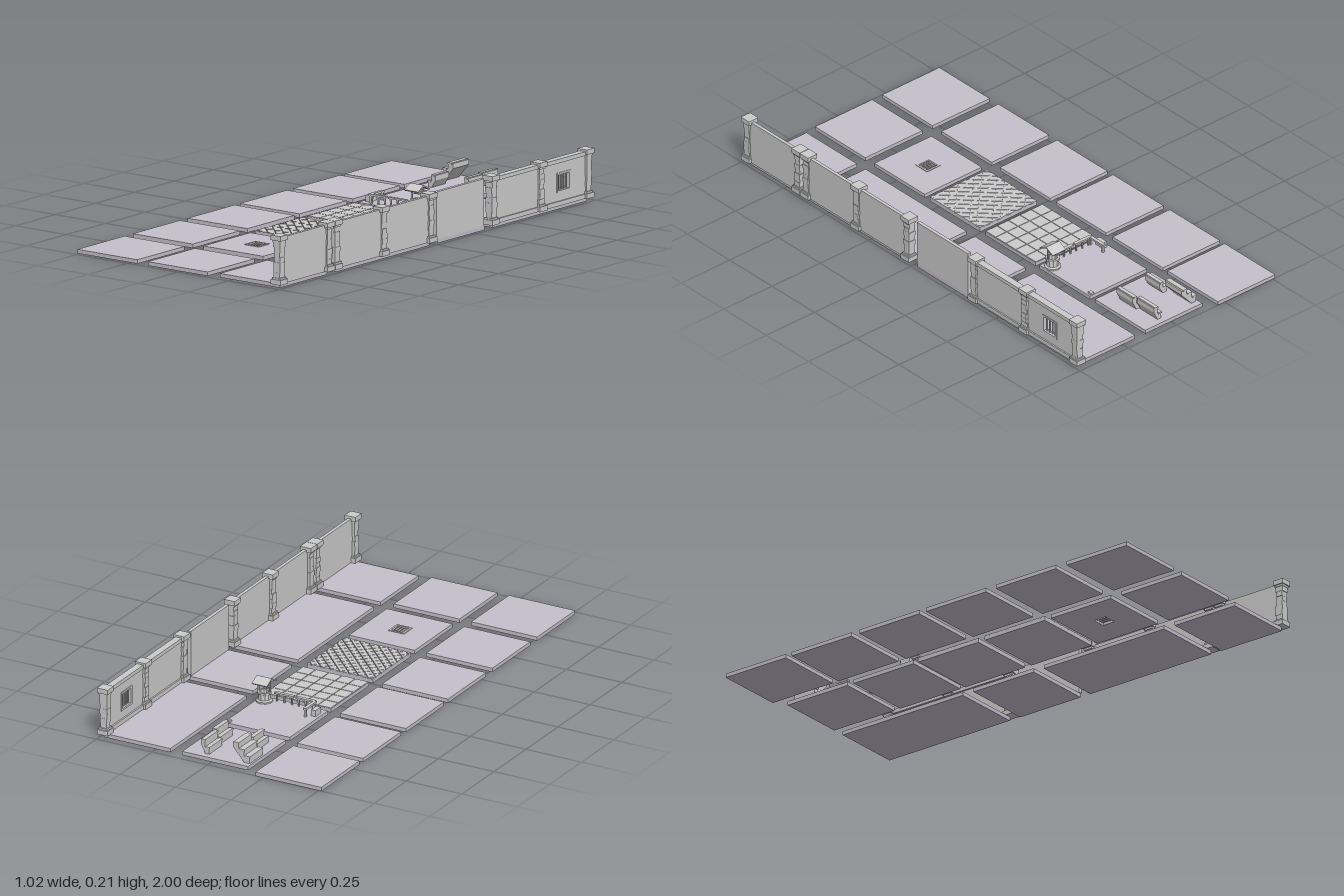
import * as THREE from 'three';

const stone = new THREE.MeshStandardMaterial({ color: 0xcccccc, flatShading: true });
const slab = new THREE.MeshStandardMaterial({ color: 0xc5c0cc, flatShading: true });
const TOP = 0.016; // upper surface of the floor tiles

function add(parent, name, geometry, x = 0, y = 0, z = 0, material = stone) {
  const mesh = new THREE.Mesh(geometry, material);
  mesh.name = name;
  mesh.position.set(x, y, z);
  parent.add(mesh);
  return mesh;
}

// Box given by its limits on each axis
function box(parent, name, x0, x1, y0, y1, z0, z1, material = stone) {
  return add(parent, name, new THREE.BoxGeometry(x1 - x0, y1 - y0, z1 - z0),
    (x0 + x1) / 2, (y0 + y1) / 2, (z0 + z1) / 2, material);
}

function group(parent, name) {
  const g = new THREE.Group();
  g.name = name;
  parent.add(g);
  return g;
}

function polygon(points) {
  return new THREE.Shape(points.map(([x, y]) => new THREE.Vector2(x, y)));
}

const rect = (a0, a1, b0, b1) => polygon([[a0, b0], [a1, b0], [a1, b1], [a0, b1]]);

function extrude(shape, depth) {
  return new THREE.ExtrudeGeometry(shape, { depth, bevelEnabled: false });
}

// Small repeatable noise for the rough masonry
function makeNoise(seed) {
  return () => {
    seed = (seed * 16807) % 2147483647;
    return seed / 2147483647 - 0.5;
  };
}

// Pillar of rough stacked stones between a flared base and a cap
function pillar(parent, z, seed) {
  const g = group(parent, 'pillar');
  const noise = makeNoise(seed);
  const x = 0.481;
  const block = (name, w, y0, y1, d = w) => box(g, name, x - w / 2, x + w / 2, y0, y1, z - d / 2, z + d / 2);
  block('pillarFoot', 0.048, TOP, 0.036);
  block('pillarFootStep', 0.039, 0.036, 0.043);
  const count = 7, h = (0.184 - 0.043) / count;
  for (let i = 0; i < count; i++) {
    block('pillarStone', 0.031 + noise() * 0.008, 0.043 + i * h, 0.043 + (i + 1) * h, 0.031 + noise() * 0.008);
  }
  block('pillarNeck', 0.038, 0.184, 0.192);
  block('pillarCap', 0.048, 0.192, 0.212);
}

// Flight of steps rising towards +x with a sloping underside
function steps(parent, x0, x1, z0, z1, tops) {
  const run = (x1 - x0) / tops.length;
  const pts = [[x0, TOP]];
  tops.forEach((y, i) => pts.push([x0 + i * run, y], [x0 + (i + 1) * run, y]));
  const last = tops[tops.length - 1];
  pts.push([x1, last - 0.02], [x0 + run, TOP]);
  add(parent, 'steps', extrude(polygon(pts), z1 - z0), 0, 0, z0);
  // raised tread on each step
  tops.forEach((y, i) => box(parent, 'tread', x0 + i * run - 0.002, x0 + (i + 0.75) * run, y - 0.005, y + 0.002, z0 - 0.002, z1 + 0.002));
}

export function createModel() {
  const model = new THREE.Group();
  model.name = 'dungeonTileSet';

  // Plain floor tiles
  const floors = group(model, 'floorTiles');
  const tile = (x0, x1, z0, z1) => box(floors, 'floorTile', x0, x1, 0, TOP, z0, z1, slab);
  for (const z of [-1, -0.675, -0.34, -0.01, 0.335, 0.685]) tile(-0.512, -0.215, z, z + 0.297);
  for (const z of [-0.967, -0.64, -0.32, 0.008, 0.685]) tile(-0.163, 0.133, z, z + 0.297);
  for (const [z0, z1] of [[-0.967, -0.372], [-0.32, -0.022], [0.028, 0.623], [0.675, 0.972]]) tile(0.186, 0.483, z0, z1);

  // Floor tile with a barred drain
  const drain = group(model, 'drainTile');
  const drainShape = rect(-0.163, 0.133, -0.632, -0.335);
  drainShape.holes.push(rect(-0.043, 0.015, -0.51, -0.455));
  add(drain, 'drainFloor', extrude(drainShape, TOP), 0, 0, 0, slab).rotation.x = -Math.PI / 2;
  const rim = rect(-0.049, 0.021, -0.516, -0.449);
  rim.holes.push(rect(-0.041, 0.013, -0.508, -0.457));
  add(drain, 'drainRim', extrude(rim, 0.004), 0, TOP - 0.001, 0).rotation.x = -Math.PI / 2;
  for (let i = 0; i < 4; i++) {
    const x = -0.034 + i * 0.0133;
    box(drain, 'drainBar', x - 0.0025, x + 0.0025, 0.008, 0.015, 0.453, 0.512);
  }

  // Paving laid in staggered sizes
  const paving = group(model, 'squarePaving');
  const gap = 0.0015, rows = 5, cols = 5;
  for (let r = 0; r < rows; r++) {
    for (let c = 0; c < cols; c++) {
      const w = 0.296 / cols, d = 0.297 / rows;
      const x = -0.163 + c * w, z = -0.32 + r * d;
      box(paving, 'pavingStone', x + gap, x + w - gap, TOP - 0.002, TOP + 0.003, z + gap, z + d - gap);
    }
  }

  // Diagonal paving, trimmed to half stones along the edges
  const diagonal = group(model, 'diamondPaving');
  const half = 0.148, n = 14, step = 2 * half / n, reach = step - 0.002;
  const lim = (v) => Math.max(-half, Math.min(half, v));
  for (let i = 0; i <= n; i++) {
    for (let j = 0; j <= n; j++) {
      if ((i + j) % 2) continue;
      const cx = -half + i * step, cy = -half + j * step;
      const shape = polygon([[1, 0], [0, 1], [-1, 0], [0, -1]].map(([a, b]) => [lim(cx + a * reach), lim(cy + b * reach)]));
      add(diagonal, 'diamondStone', extrude(shape, 0.004), -0.015, TOP - 0.001, 0.1565).rotation.x = -Math.PI / 2;
    }
  }

  // Wall with a barred window; shape drawn in (-z, y) and turned to face +x
  const walls = group(model, 'walls');
  const windowWall = rect(0.367, 0.965, TOP, 0.2);
  windowWall.holes.push(rect(0.775, 0.845, 0.075, 0.14));
  add(walls, 'windowWall', extrude(windowWall, 0.014), 0.475, 0, 0).rotation.y = Math.PI / 2;
  box(walls, 'topRail', 0.468, 0.497, 0.188, 0.204, -0.965, -0.367);
  box(walls, 'bottomRail', 0.468, 0.495, TOP, 0.034, -0.965, -0.367);
  const frame = rect(0.768, 0.852, 0.068, 0.147);
  frame.holes.push(rect(0.776, 0.844, 0.076, 0.139));
  add(walls, 'windowFrame', extrude(frame, 0.02), 0.472, 0, 0).rotation.y = Math.PI / 2;
  for (let i = 0; i < 4; i++) {
    add(walls, 'windowBar', new THREE.CylinderGeometry(0.0035, 0.0035, 0.07, 6), 0.482, 0.1075, -0.834 + i * 0.016);
  }

  // Solid walls
  box(walls, 'plainWall', 0.468, 0.483, TOP, 0.206, -0.318, -0.018);
  for (const [z0, z1] of [[0.03, 0.625], [0.675, 0.975]]) {
    box(walls, 'wallPanel', 0.477, 0.491, TOP, 0.202, z0, z1);
  }
  [-0.963, -0.665, -0.365, 0.03, 0.328, 0.625, 0.675, 0.973].forEach((z, i) => pillar(walls, z, 101 + i * 7919));

  // Flights of steps on the rear tile
  const flights = group(model, 'stepFlights');
  steps(flights, -0.155, -0.08, -0.94, -0.84, [0.044, 0.069, 0.093]);
  steps(flights, -0.115, -0.078, -0.81, -0.725, [0.042, 0.066]);
  steps(flights, 0.027, 0.064, -0.94, -0.84, [0.044, 0.074]);
  steps(flights, 0.04, 0.078, -0.83, -0.735, [0.044, 0.074]);

  // Low fence along the front of the well tile
  const yard = group(model, 'wellYard');
  for (const [x0, x1] of [[-0.115, -0.032], [-0.022, 0.066]]) {
    const mid = (x0 + x1) / 2;
    box(yard, 'fenceRail', x0, x1, 0.048, 0.055, -0.368, -0.353);
    for (const x of [x0 + 0.01, mid, x1 - 0.01]) {
      add(yard, 'fencePost', new THREE.CylinderGeometry(0.005, 0.0035, 0.033, 6), x, 0.0325, -0.36);
    }
  }
  box(yard, 'bench', -0.122, -0.108, 0.046, 0.054, -0.443, -0.355);
  for (const z of [-0.435, -0.363]) box(yard, 'benchLeg', -0.119, -0.111, TOP, 0.046, z - 0.004, z + 0.004);
  box(yard, 'crate', -0.15, -0.13, TOP, 0.042, -0.418, -0.375);
  box(yard, 'cornerBlock', 0.109, 0.125, TOP, 0.024, -0.638, -0.62);

  // Well with a gabled roof
  const well = group(yard, 'well');
  const wx = 0.1, wz = -0.383;
  const profile = [[0.018, 0], [0.034, 0], [0.034, 0.006], [0.026, 0.01], [0.025, 0.032], [0.029, 0.034],
    [0.029, 0.042], [0.019, 0.042], [0.018, 0.004], [0, 0.004]].map(([r, y]) => new THREE.Vector2(r, y));
  add(well, 'wellRing', new THREE.LatheGeometry(profile, 10), wx, TOP, wz);
  for (const s of [-1, 1]) {
    box(well, 'roofPost', wx + s * 0.025 - 0.003, wx + s * 0.025 + 0.003, 0.05, 0.112, wz - 0.003, wz + 0.003);
    const roof = add(well, 'roofSlope', new THREE.BoxGeometry(0.068, 0.005, 0.044), wx, 0.1065, wz + s * 0.0185);
    roof.rotation.x = s * 0.48;
  }
  const axle = add(well, 'windlass', new THREE.CylinderGeometry(0.004, 0.004, 0.054, 8), wx, 0.082, wz);
  axle.rotation.z = Math.PI / 2;

  return model;
}
